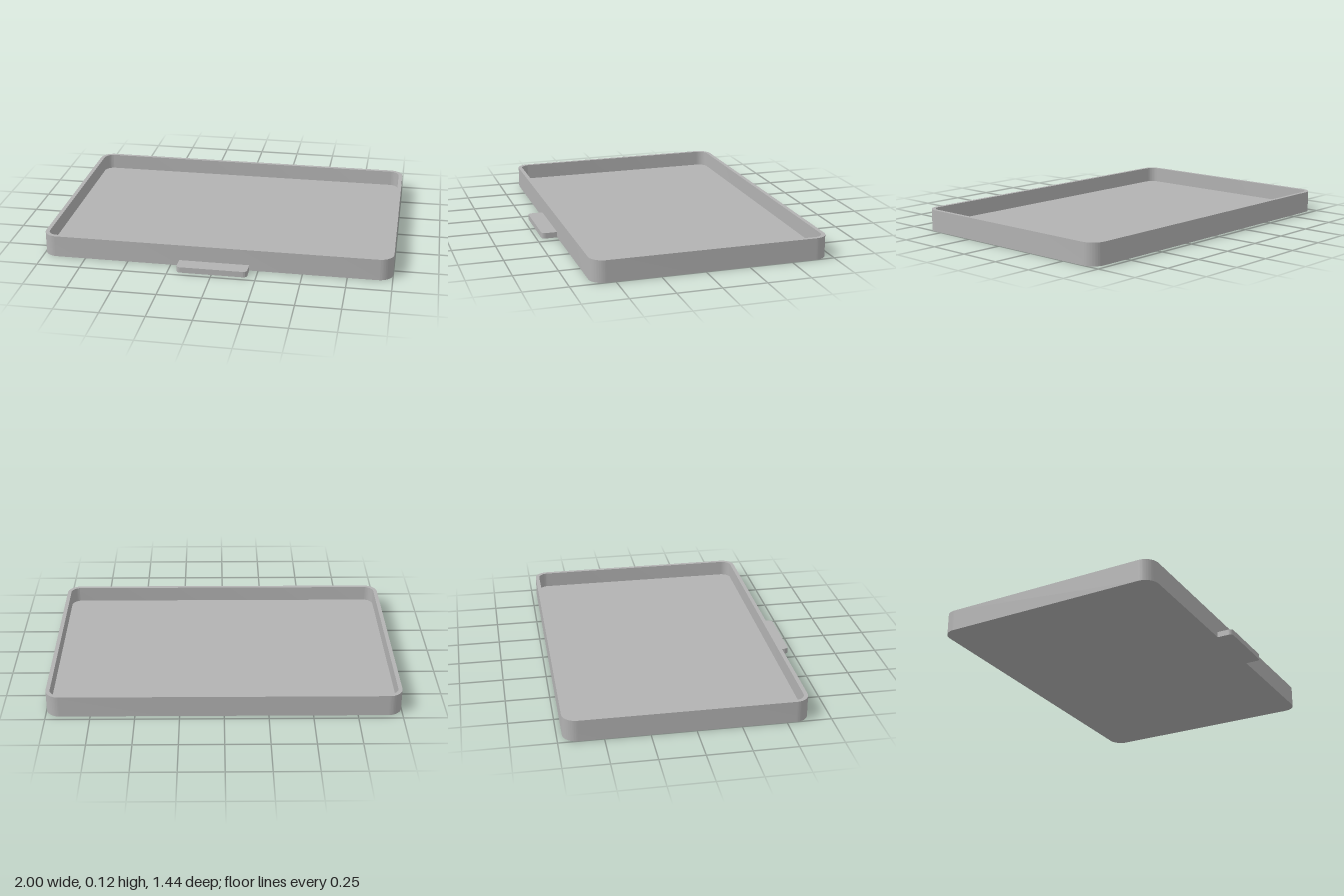
import * as THREE from 'three';
import { toCreasedNormals } from 'three/addons/utils/BufferGeometryUtils.js';

const HEIGHT = 0.125, FLOOR = 0.033, WALL = 0.023, RADIUS = 0.08;
const BACK = -0.72, FRONT = 0.63, TAB_FRONT = 0.72;

// Traces a rectangle in plan (y = -z) with separate front and back corner radii.
function roundedRect(path, halfX, back, front, rFront, rBack = rFront) {
  const lo = -front, hi = -back;
  path.moveTo(-halfX + rFront, lo);
  path.lineTo(halfX - rFront, lo);
  path.absarc(halfX - rFront, lo + rFront, rFront, -Math.PI / 2, 0);
  path.lineTo(halfX, hi - rBack);
  if (rBack) path.absarc(halfX - rBack, hi - rBack, rBack, 0, Math.PI / 2);
  path.lineTo(-halfX + rBack, hi);
  if (rBack) path.absarc(-halfX + rBack, hi - rBack, rBack, Math.PI / 2, Math.PI);
  path.lineTo(-halfX, lo + rFront);
  path.absarc(-halfX + rFront, lo + rFront, rFront, Math.PI, Math.PI * 1.5);
  return path;
}

// Raises a plan outline from the ground, with smooth corners and sharp rims.
function slab(name, shape, height, material) {
  const geometry = new THREE.ExtrudeGeometry(shape, { depth: height, bevelEnabled: false, curveSegments: 16 });
  geometry.rotateX(-Math.PI / 2);
  const mesh = new THREE.Mesh(toCreasedNormals(geometry, Math.PI / 6), material);
  mesh.name = name;
  return mesh;
}

export function createModel() {
  const group = new THREE.Group();
  group.name = 'tray';
  const grey = new THREE.MeshStandardMaterial({ color: 0xb2b2b2 });
  grey.name = 'grey';

  const inner = (path) => roundedRect(path, 1 - WALL, BACK + WALL, FRONT - WALL, RADIUS - WALL);

  // Upright wall around the tray
  const wall = roundedRect(new THREE.Shape(), 1, BACK, FRONT, RADIUS);
  wall.holes.push(inner(new THREE.Path()));
  group.add(slab('wall', wall, HEIGHT, grey));

  // Floor inside the wall
  group.add(slab('floor', inner(new THREE.Shape()), FLOOR, grey));

  // Pull tab on the front edge, rounded at its outer corners
  const tab = roundedRect(new THREE.Shape(), 0.2, FRONT, TAB_FRONT, 0.022, 0);
  group.add(slab('pullTab', tab, FLOOR, grey));

  return group;
}
